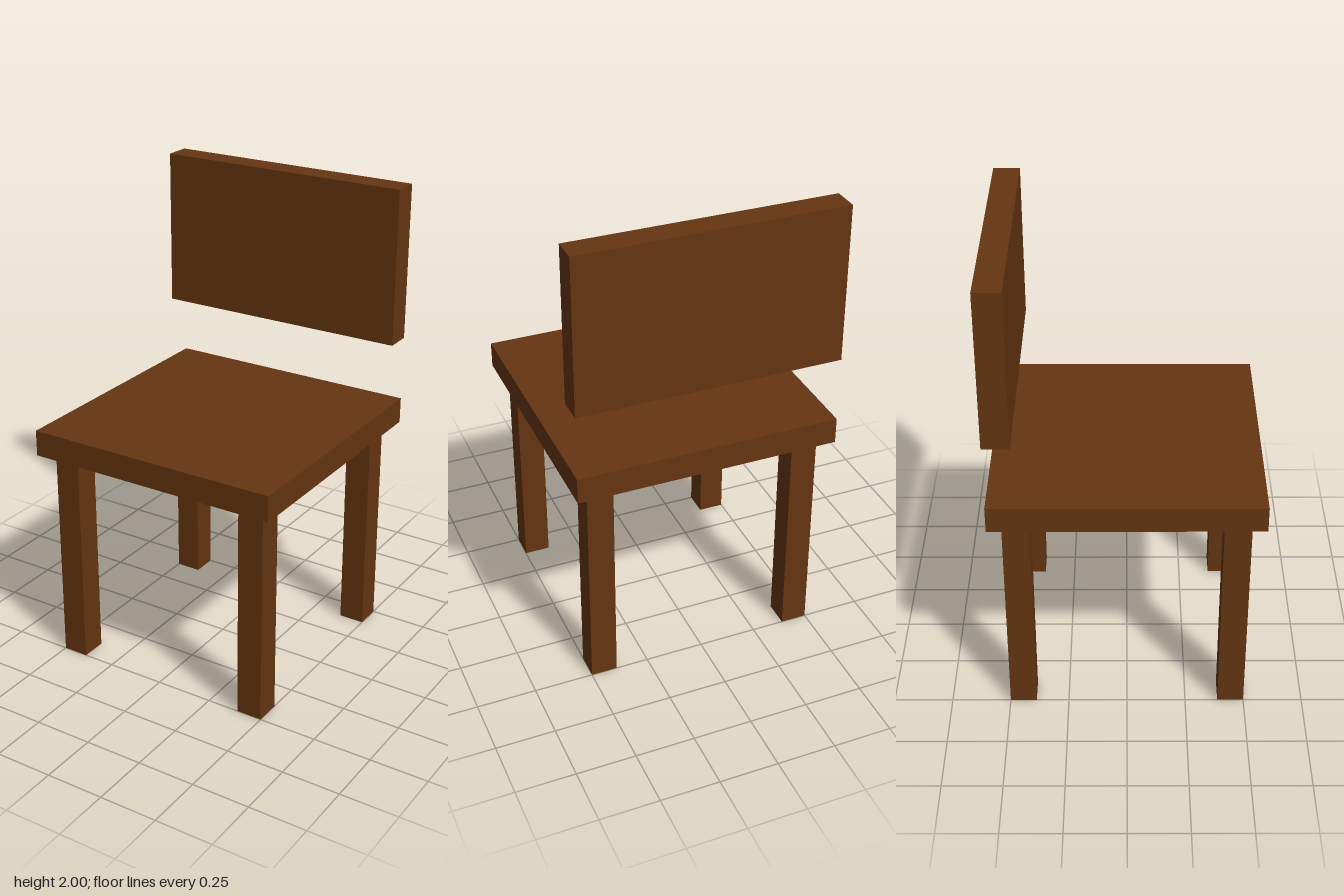
import * as THREE from 'three';

export function createModel() {
  const chair = new THREE.Group();
  chair.name = 'chair';
  const wood = new THREE.MeshStandardMaterial({ color: 0x653511 });
  const u = 1 / 9; // board thickness

  function addBoard(name, size, position) {
    const mesh = new THREE.Mesh(new THREE.BoxGeometry(...size), wood);
    mesh.name = name;
    mesh.position.set(...position);
    chair.add(mesh);
  }

  // Square seat
  addBoard('seat', [10 * u, u, 10 * u], [0, 9 * u, 0]);

  // Floating backrest, flush with the rear edge of the seat
  addBoard('backrest', [10 * u, 6 * u, u], [0, 15 * u, -4.5 * u]);

  // Four square legs, slightly inset from the seat corners
  for (const [side, x] of [['Left', 1], ['Right', -1]]) {
    for (const [end, z] of [['front', 1], ['back', -1]]) {
      addBoard(`${end}${side}Leg`, [u, 8.5 * u, u], [x * 4 * u, 4.25 * u, z * 4 * u]);
    }
  }

  return chair;
}
